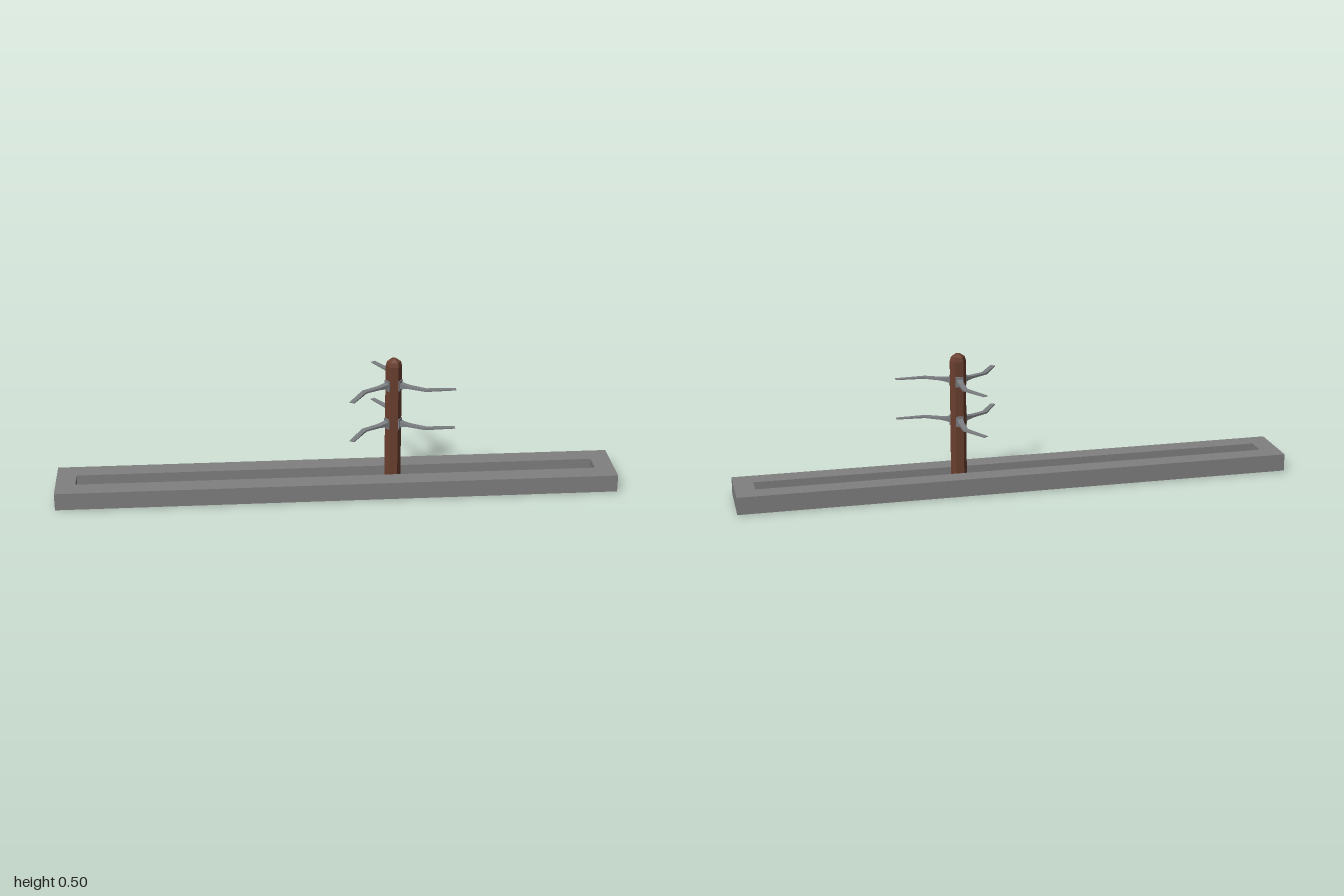
import * as THREE from 'three';

const stone = new THREE.MeshStandardMaterial({ color: 0x808080, side: THREE.DoubleSide });
stone.name = 'stone grey';
const steel = new THREE.MeshStandardMaterial({ color: 0x7c7f82 });
steel.name = 'steel grey';
const wood = new THREE.MeshStandardMaterial({ color: 0x6b4030, side: THREE.DoubleSide });
wood.name = 'wood brown';

// Faceted normals
function faceted(geometry) {
  const g = geometry.index ? geometry.toNonIndexed() : geometry;
  g.computeVertexNormals();
  return g;
}

// Skin over a series of four-cornered rings, with an optional end cap
function loft(rings, cap = false) {
  const index = [];
  for (let i = 0; i < rings.length - 1; i++) {
    for (let k = 0; k < 4; k++) {
      const a = i * 4 + k, b = i * 4 + (k + 1) % 4;
      index.push(a, b, b + 4, a, b + 4, a + 4);
    }
  }
  const e = (rings.length - 1) * 4;
  if (cap) index.push(e, e + 1, e + 2, e, e + 2, e + 3);
  const g = new THREE.BufferGeometry();
  g.setAttribute('position', new THREE.Float32BufferAttribute(rings.flat(2), 3));
  g.setIndex(index);
  return faceted(g);
}

function add(parent, name, geometry, material) {
  const mesh = new THREE.Mesh(geometry, material);
  mesh.name = name;
  parent.add(mesh);
  return mesh;
}

// Slotted track frame: outer walls, top and slot walls, open underneath
function frameGeometry() {
  const ring = (hx, hz, y) => [[-hx, y, hz], [hx, y, hz], [hx, y, -hz], [-hx, y, -hz]];
  return loft([
    ring(1, 0.108, 0.003), ring(1, 0.108, 0.066),
    ring(0.93, 0.037, 0.066), ring(0.93, 0.037, 0.003),
  ]);
}

// Bent blade pointing to -z: x, z, half width, half height, x-skew of the section
function bladeGeometry() {
  const stations = [
    [0, -0.024, 0.011, 0.011, 0],
    [0, -0.042, 0.010, 0.007, 0],
    [0, -0.064, 0.010, 0.004, 0],
    [0, -0.125, 0.010, 0.003, 0.27],
    [-0.053, -0.215, 0.009, 0.0012, 0.55],
  ];
  return loft(stations.map(([x, z, w, h, s]) =>
    [[-w, -h], [-w, h], [w, h], [w, -h]].map(([u, v]) =>
      [x + u * Math.cos(s), v, z - u * Math.sin(s)])), true);
}

export function createModel() {
  const model = new THREE.Group();
  model.name = 'bladedPostTrap';

  add(model, 'trackFrame', frameGeometry(), stone).position.z = 0.0275;

  const pole = new THREE.Group();
  pole.name = 'spinningPole';
  pole.position.set(0.2, 0, 0.029);
  model.add(pole);

  // Six-sided post with a rounded head, open at the bottom
  const profile = [[0.029, 0], [0.029, 0.473], [0.0245, 0.488], [0.01, 0.498], [0, 0.498]]
    .map(([r, y]) => new THREE.Vector2(r, y));
  const post = new THREE.LatheGeometry(profile, 6).rotateY(Math.PI / 6);
  add(pole, 'post', faceted(post), wood);

  // Two tiers of three blades, each on a mounting plate
  const blade = bladeGeometry();
  const plate = new THREE.BoxGeometry(0.027, 0.037, 0.006);
  for (const y of [0.401, 0.255]) {
    for (let i = 0; i < 3; i++) {
      const arm = new THREE.Group();
      arm.name = 'bladeArm';
      arm.position.y = y;
      arm.rotation.y = i * Math.PI * 2 / 3;
      add(arm, 'mountingPlate', plate, steel).position.z = -0.026;
      add(arm, 'blade', blade, steel);
      pole.add(arm);
    }
  }
  return model;
}
